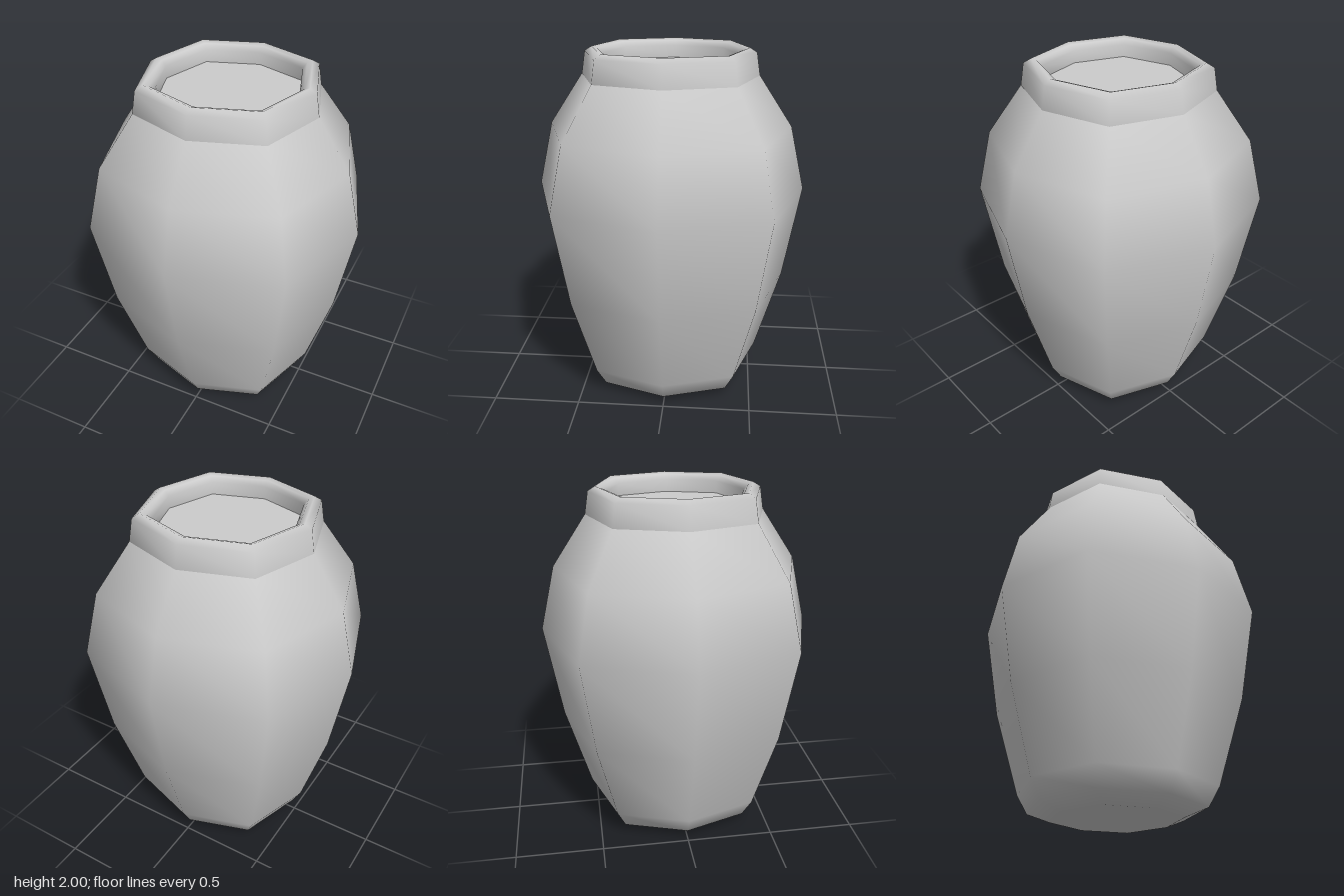
import * as THREE from 'three';
import { mergeVertices } from 'three/addons/utils/BufferGeometryUtils.js';

// Eight-sided turned surface whose diagonal corners stand slightly further out
function turned(name, profile) {
  const lathe = new THREE.LatheGeometry(profile.map(([r, y]) => new THREE.Vector2(r, y)), 8);
  lathe.deleteAttribute('uv');
  lathe.deleteAttribute('normal');
  const pos = lathe.attributes.position;
  for (let i = 0; i < pos.count; i++) {
    const x = pos.getX(i), z = pos.getZ(i);
    const k = Math.min(Math.abs(x), Math.abs(z)) > 1e-3 ? 1.064 : 1;
    pos.setXYZ(i, x * k, pos.getY(i), z * k);
  }
  // Weld the seam so the shading runs smoothly all the way round
  const geometry = mergeVertices(lathe, 1e-4);
  geometry.computeVertexNormals();
  const mesh = new THREE.Mesh(geometry, new THREE.MeshStandardMaterial({ color: 0xcccccc }));
  mesh.name = name;
  return mesh;
}

export function createModel() {
  const group = new THREE.Group();
  group.name = 'jar';

  // Belly with chamfered foot and closed base
  group.add(turned('body', [
    [0, 0], [0.35, 0], [0.475, 0.05], [0.535, 0.16], [0.68, 0.65],
    [0.775, 1.2], [0.69, 1.565], [0.5, 1.85],
  ]));

  // Collar rolling over the lip and down inside the mouth
  group.add(turned('rim', [
    [0.5, 1.85], [0.48, 1.975], [0.44, 2], [0.41, 1.99], [0.386, 1.96], [0.386, 1.89],
  ]));

  // Shallow floor closing the mouth
  group.add(turned('mouthFloor', [[0.386, 1.89], [0, 1.89]]));

  return group;
}
